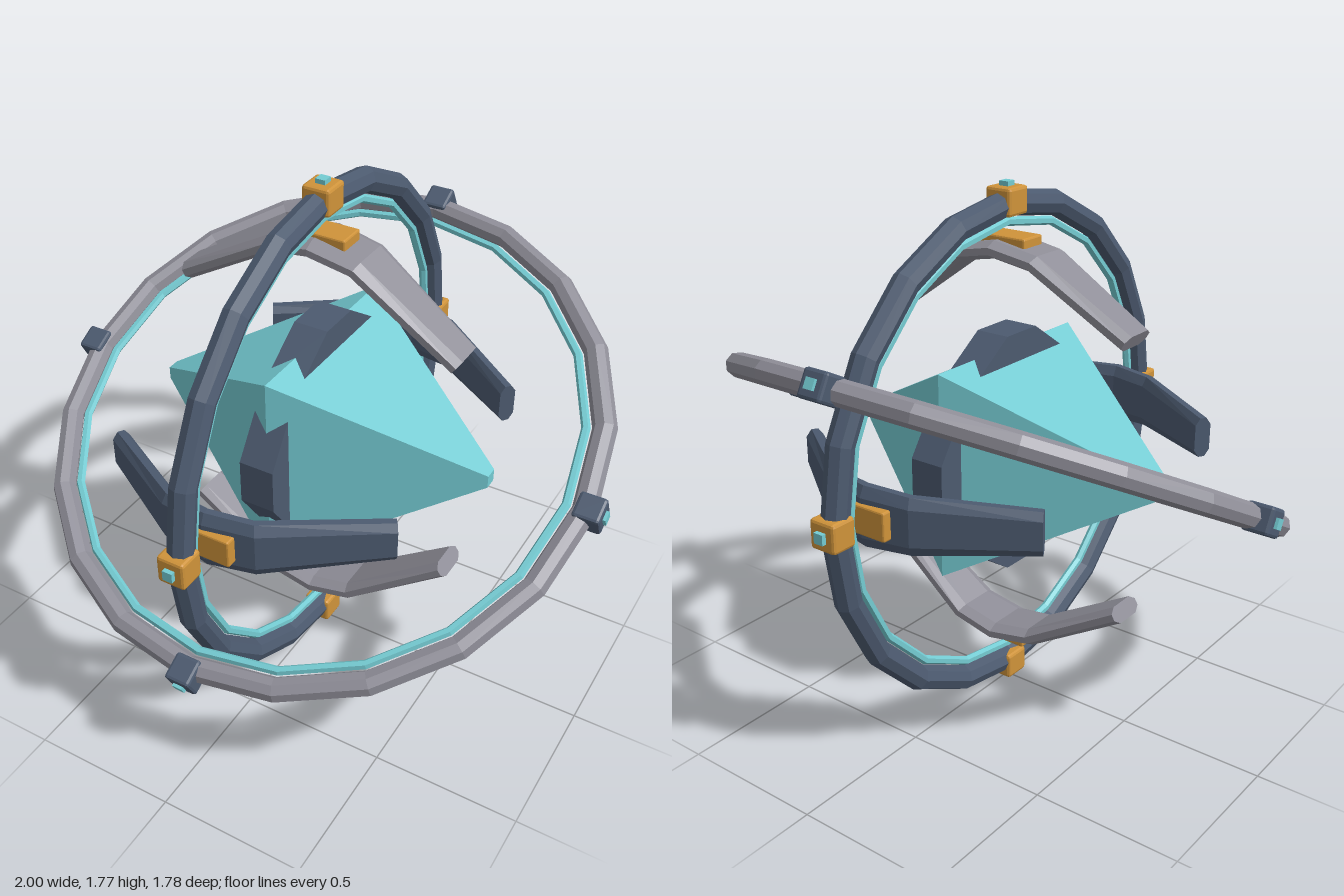
import * as THREE from 'three';
import { RoundedBoxGeometry } from 'three/addons/geometries/RoundedBoxGeometry.js';

const CENTRE_Y = 0.885;

function paint(name, color) {
  const m = new THREE.MeshStandardMaterial({ color, flatShading: true });
  m.name = name;
  return m;
}

function add(parent, name, geometry, material, x = 0, y = 0, z = 0) {
  const mesh = new THREE.Mesh(geometry, material);
  mesh.name = name;
  mesh.position.set(x, y, z);
  parent.add(mesh);
  return mesh;
}

// Bent, tapered arm lofted along x: stations are [x, radius, half width]
function bladeGeometry() {
  const stations = [
    [-0.485, 0.46, 0.07], [-0.15, 0.655, 0.093], [0, 0.68, 0.1],
    [0.15, 0.65, 0.095], [0.49, 0.405, 0.07],
  ];
  const section = [[1, -0.4], [1, 0.4], [0.65, 1], [-0.65, 1], [-1, 0.4], [-1, -0.4], [-0.65, -1], [0.65, -1]];
  const n = section.length;
  const positions = [];
  const indices = [];
  stations.forEach(([x, r, w], i) => {
    const a = stations[Math.max(i - 1, 0)];
    const b = stations[Math.min(i + 1, stations.length - 1)];
    const len = Math.hypot(b[0] - a[0], b[1] - a[1]);
    const nx = -(b[1] - a[1]) / len;
    const ny = (b[0] - a[0]) / len;
    for (const [u, v] of section) positions.push(x + nx * v * 0.029, r + ny * v * 0.029, u * w);
  });
  for (let i = 0; i < stations.length - 1; i++) {
    for (let j = 0; j < n; j++) {
      const a = i * n + j, b = i * n + (j + 1) % n;
      indices.push(a, a + n, b, b, a + n, b + n);
    }
  }
  // end caps
  const last = (stations.length - 1) * n;
  for (let j = 1; j < n - 1; j++) {
    indices.push(0, j, j + 1, last, last + j + 1, last + j);
  }
  const g = new THREE.BufferGeometry();
  g.setAttribute('position', new THREE.Float32BufferAttribute(positions, 3));
  g.setIndex(indices);
  g.computeVertexNormals();
  return g;
}

// Trapezoid saddle that sits on the crystal's ridge
function saddleGeometry() {
  const s = new THREE.Shape();
  s.moveTo(-0.235, 0.3);
  s.lineTo(0.235, 0.3);
  s.lineTo(0.075, 0.41);
  s.lineTo(-0.075, 0.41);
  s.closePath();
  const g = new THREE.ExtrudeGeometry(s, { depth: 0.12, bevelEnabled: false });
  g.translate(0, 0, -0.06);
  g.rotateY(Math.PI / 2);
  return g;
}

// Faceted ring with a thin inner band and four studded clamps
function makeRing(name, o) {
  const ring = new THREE.Group();
  ring.name = name;
  add(ring, name + 'Tube', new THREE.TorusGeometry(o.radius, o.tube, 8, 20), o.material);
  add(ring, name + 'InnerBand', new THREE.TorusGeometry(o.band, 0.015, 6, 20), o.glow);
  for (let i = 0; i < 4; i++) {
    const clamp = new THREE.Group();
    clamp.name = name + 'Clamp';
    clamp.rotation.z = i * Math.PI / 2;
    add(clamp, 'clampBlock', new RoundedBoxGeometry(0.09, o.clampWidth, o.clampWidth, 1, 0.01), o.clampMaterial, o.clampRadius);
    add(clamp, 'clampStud', new THREE.BoxGeometry(0.04, 0.034, 0.034), o.glow, o.reach - 0.02);
    ring.add(clamp);
  }
  return ring;
}

export function createModel() {
  const teal = paint('teal crystal', 0x74cbd2);
  const navy = paint('navy metal', 0x4c5a6f);
  const grey = paint('grey metal', 0x8f8e98);
  const gold = paint('gold', 0xcf933a);

  const model = new THREE.Group();
  model.name = 'crystalGyroscope';
  const body = new THREE.Group();
  body.name = 'gyroscope';
  body.position.y = CENTRE_Y;
  model.add(body);

  // Crystal: two square pyramids with blunt tips
  for (const side of [-1, 1]) {
    const g = new THREE.CylinderGeometry(0.022 * Math.SQRT2, 0.346 * Math.SQRT2, 0.613, 4);
    g.rotateY(Math.PI / 4);
    g.translate(0, 0.3065, 0);
    g.rotateZ(-side * Math.PI / 2);
    add(body, 'crystalHalf', g, teal);
  }

  // Upright ring across the model
  const upright = makeRing('uprightRing', {
    radius: 0.817, tube: 0.043, band: 0.757, material: navy, glow: teal,
    clampMaterial: gold, clampRadius: 0.825, clampWidth: 0.096, reach: 0.885,
  });
  upright.rotation.y = Math.PI / 2;
  body.add(upright);

  // Larger ring, high at the back and low at the front
  const tilted = makeRing('tiltedRing', {
    radius: 0.925, tube: 0.04, band: 0.866, material: grey, glow: teal,
    clampMaterial: navy, clampRadius: 0.945, clampWidth: 0.09, reach: 1,
  });
  tilted.rotation.x = -THREE.MathUtils.degToRad(62);
  body.add(tilted);

  // Four bent arms with gold plates, and four saddles around the crystal
  const blade = bladeGeometry();
  const saddle = saddleGeometry();
  const plate = new RoundedBoxGeometry(0.205, 0.04, 0.096, 1, 0.006);
  for (let i = 0; i < 4; i++) {
    const spoke = new THREE.Group();
    spoke.name = ['top', 'front', 'bottom', 'back'][i] + 'Spoke';
    spoke.rotation.x = i * Math.PI / 2;
    add(spoke, 'bentArm', blade, i % 2 ? navy : grey);
    add(spoke, 'armPlate', plate, gold, 0, 0.702, 0);
    add(spoke, 'crystalSaddle', saddle, navy);
    body.add(spoke);
  }
  return model;
}
